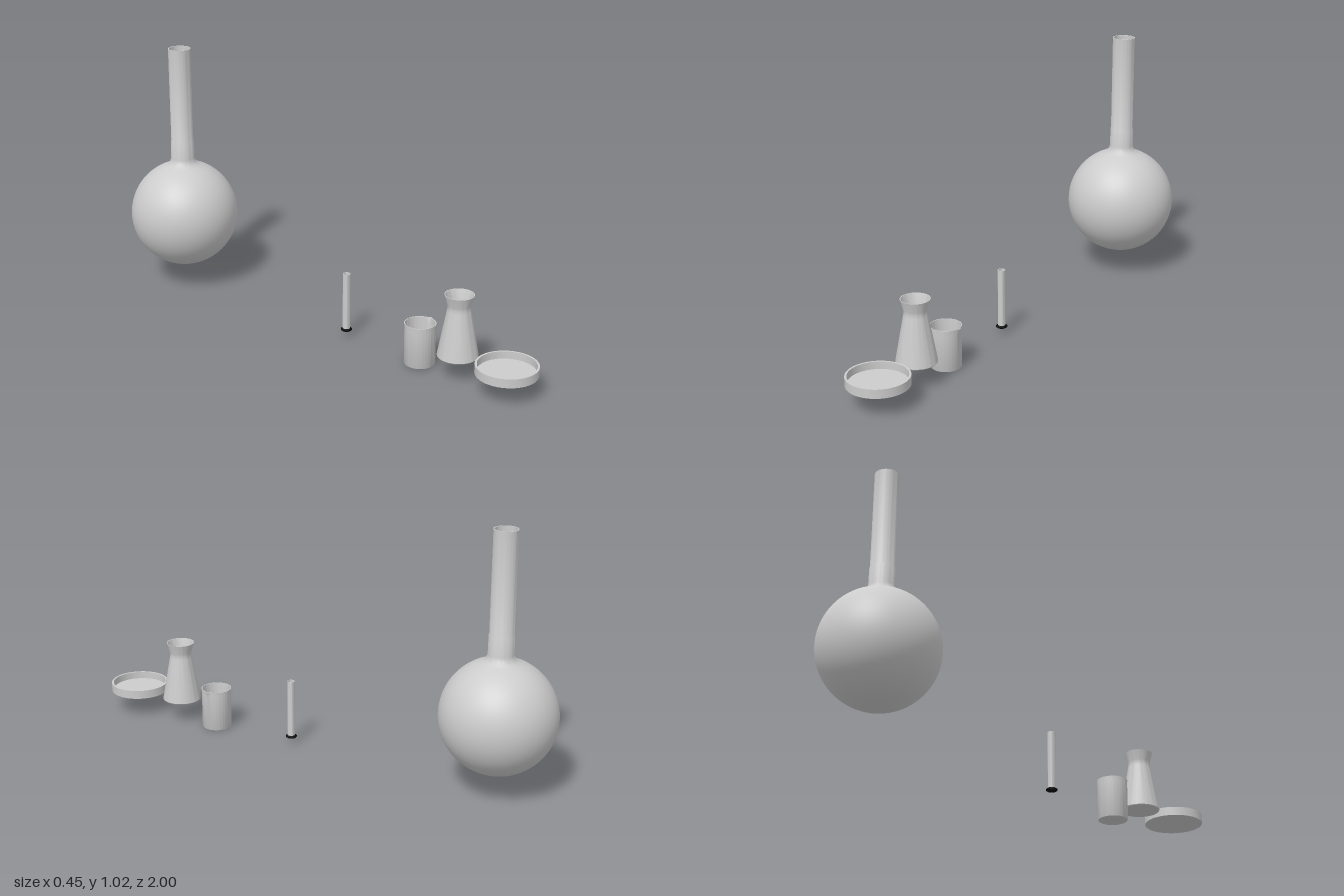
import * as THREE from 'three';
import { toCreasedNormals } from 'three/addons/utils/BufferGeometryUtils.js';

const glass = new THREE.MeshStandardMaterial({ color: 0xcccccc });
glass.name = 'glass';
const black = new THREE.MeshStandardMaterial({ color: 0x0a0a0a });
black.name = 'blackPlastic';

// Revolved part from [radius, height] pairs, listed up the outside and down the inside
function turned(name, profile, z, material = glass, segments = 64, reshape) {
  const points = profile.map(([r, y]) => new THREE.Vector2(r, y));
  const lathe = new THREE.LatheGeometry(points, segments);
  if (reshape) reshape(lathe.attributes.position);
  const mesh = new THREE.Mesh(toCreasedNormals(lathe, 0.6), material);
  mesh.name = name;
  mesh.position.z = z;
  return mesh;
}

// Arc of a sphere's profile, from the bottom pole up to the given angle
function bulb(radius, centreY, endAngle, steps = 36) {
  return Array.from({ length: steps + 1 }, (_, i) => {
    const a = (i / steps) * endAngle;
    return [radius * Math.sin(a), centreY - radius * Math.cos(a)];
  });
}

// Pull the rim outward towards +x to make a small pouring lip
function pullSpout(position) {
  for (let i = 0; i < position.count; i++) {
    const x = position.getX(i), y = position.getY(i), z = position.getZ(i);
    if (y < 0.15) continue;
    const side = Math.max(0, 1 - Math.abs(Math.atan2(z, x)) / 0.22);
    position.setX(i, x + 0.007 * side * (y - 0.15) / 0.02);
  }
}

export function createModel() {
  const model = new THREE.Group();
  model.name = 'laboratoryGlassware';

  // Round flask with a long neck
  const outerNeck = [[0.075, 0.524], [0.061, 0.532], [0.053, 0.542], [0.049, 0.556],
    [0.048, 0.63], [0.046, 0.634], [0.046, 1.025]];
  const innerNeck = [[0.042, 1.025], [0.042, 0.634], [0.044, 0.62], [0.045, 0.556],
    [0.05, 0.54], [0.058, 0.529], [0.074, 0.52]];
  model.add(turned('roundFlask', [
    ...bulb(0.224, 0.312, 2.73), ...outerNeck,
    ...innerNeck, ...bulb(0.22, 0.312, 2.73).reverse(),
  ], -0.776));

  // Slim measuring cylinder on a dark foot
  model.add(turned('measuringCylinder', [
    [0, 0.036], [0.015, 0.036], [0.015, 0.272],
    [0.0125, 0.272], [0.0125, 0.042], [0, 0.042],
  ], 0.123, glass, 32));
  model.add(turned('cylinderFoot', [
    [0, 0.03], [0.018, 0.03], [0.022, 0.033], [0.022, 0.037], [0.0155, 0.041], [0.0155, 0.035],
  ], 0.123, black, 32));

  // Beaker with rounded base and spout
  model.add(turned('beaker', [
    [0, 0.003], [0.054, 0.003], [0.058, 0.005], [0.06, 0.01], [0.06, 0.15], [0.061, 0.171],
    [0.058, 0.171], [0.057, 0.15], [0.057, 0.012], [0.053, 0.007], [0, 0.007],
  ], 0.486, glass, 96, pullSpout));

  // Conical flask with flared mouth
  model.add(turned('conicalFlask', [
    [0, 0.09], [0.076, 0.09], [0.078, 0.093], [0.077, 0.1], [0.045, 0.275], [0.043, 0.287], [0.045, 0.299],
    [0.056, 0.338], [0.053, 0.338], [0.042, 0.299], [0.04, 0.287], [0.042, 0.275],
    [0.073, 0.1], [0.073, 0.094], [0, 0.094],
  ], 0.662));

  // Shallow dish
  model.add(turned('shallowDish', [
    [0, 0.088], [0.118, 0.088], [0.118, 0.123],
    [0.11, 0.123], [0.11, 0.094], [0, 0.094],
  ], 0.882));

  return model;
}
